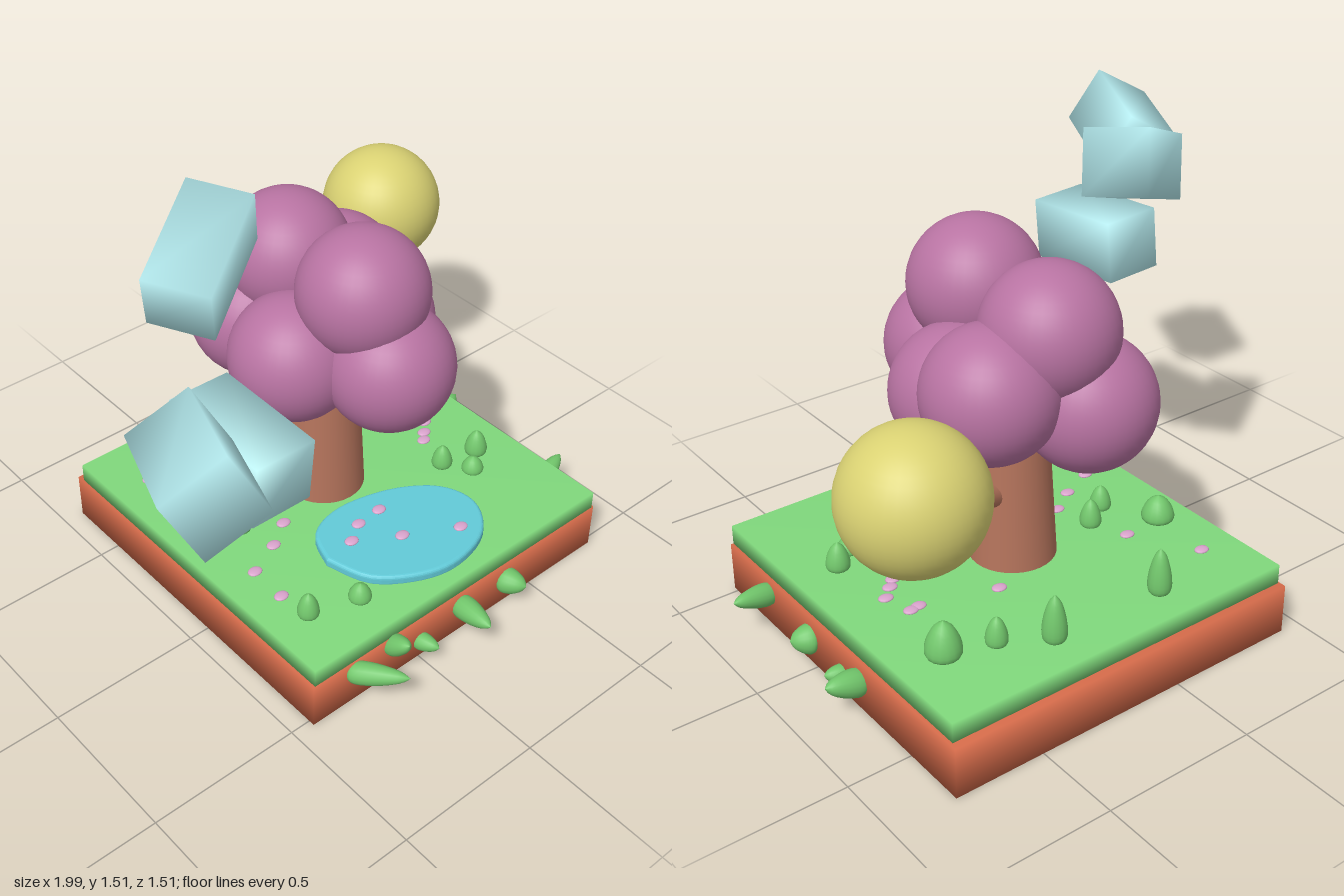
import * as THREE from 'three';
import { mergeVertices } from 'three/addons/utils/BufferGeometryUtils.js';

const V = (x, y, z) => new THREE.Vector3(x, y, z);
const mat = (color, opts = {}) => new THREE.MeshStandardMaterial({ color, ...opts });
const MAT = {
  dirt: mat(0xd56b4a), grass: mat(0x80d87c), bark: mat(0xb5745c), leaves: mat(0xb873a2),
  sun: mat(0xdad273), cloud: mat(0xb6ecf0), water: mat(0x62cad8), petal: mat(0xd9a3cc),
  bush: mat(0x72c76c, { side: THREE.DoubleSide }),
};

// Box whose corners share normals, giving soft shading across its faces
function softBox(w, h, d) {
  const g = new THREE.BoxGeometry(w, h, d);
  g.deleteAttribute('uv');
  g.deleteAttribute('normal');
  const merged = mergeVertices(g);
  merged.computeVertexNormals();
  return merged;
}

// Rounded cone growing along +y from its base, unit radius and height
const budGeometry = new THREE.LatheGeometry(
  new THREE.SplineCurve([[0, 0], [0.75, 0.02], [1, 0.18], [0.88, 0.5], [0.5, 0.83], [0, 1]]
    .map(([x, y]) => new THREE.Vector2(x, y))).getPoints(14)
    .map(p => new THREE.Vector2(Math.max(p.x, 0), p.y)), 16);

export function createModel() {
  const model = new THREE.Group();
  const add = (name, geometry, material, x = 0, y = 0, z = 0, parent = model) => {
    const m = new THREE.Mesh(geometry, material);
    m.name = name;
    m.position.set(x, y, z);
    parent.add(m);
    return m;
  };
  const group = name => {
    const g = new THREE.Group();
    g.name = name;
    model.add(g);
    return g;
  };

  // Ground slabs
  add('dirtSlab', softBox(1.225, 0.165, 1.235), MAT.dirt, 0.182, 0.0825, -0.0975);
  add('grassSlab', softBox(1.21, 0.065, 1.21), MAT.grass, 0.18, 0.1975, -0.085);

  // Tree: trunk, stub of a branch and round leaf clumps
  const tree = group('tree');
  add('trunk', new THREE.CylinderGeometry(0.105, 0.137, 0.58, 32), MAT.bark, 0.16, 0.51, -0.122, tree);
  const from = V(0.2, 0.455, -0.14), to = V(0.325, 0.503, -0.187);
  const branch = add('branchStub', new THREE.CylinderGeometry(0.037, 0.037, from.distanceTo(to), 20),
    MAT.bark, 0, 0, 0, tree);
  branch.position.copy(from).lerp(to, 0.5);
  branch.quaternion.setFromUnitVectors(V(0, 1, 0), to.clone().sub(from).normalize());
  const clump = new THREE.SphereGeometry(0.205, 40, 24);
  [[0.16, 1.067, 0.05], [0.16, 1.037, -0.3], [0.18, 0.842, 0.152], [0.0, 0.835, -0.08],
    [0.325, 0.82, -0.09], [0.345, 0.89, -0.275], [0.07, 0.815, -0.365]]
    .forEach(p => add('leafClump', clump, MAT.leaves, ...p, tree));

  // Sun
  add('sun', new THREE.SphereGeometry(0.203, 40, 24), MAT.sun, 0.79, 0.85, -0.552);

  // Clouds: long soft boxes, each given by centre, long axis and one side direction
  const cloudGeometry = softBox(0.2, 0.2, 0.36);
  const clouds = group('clouds');
  [[V(-0.81, 1.218, 0.53), V(-0.37, 0.17, 0.91), V(0.166, 0.096, 0.049)],
    [V(-0.35, 1.345, -0.052), V(0.29, 0.123, -0.175), V(0.112, -0.021, 0.171)],
    [V(-0.505, 0.98, 0.3), V(0.01, -0.02, 0.36), V(0.2, -0.01, 0.01)]]
    .forEach(([centre, axis, side]) => {
      const z = axis.normalize();
      const y = z.clone().cross(side).normalize();
      const x = y.clone().cross(z);
      add('cloud', cloudGeometry, MAT.cloud, ...centre, clouds)
        .quaternion.setFromRotationMatrix(new THREE.Matrix4().makeBasis(x, y, z));
    });

  // Pond: a rounded slab with an uneven oval outline (shape y becomes -z)
  const outline = new THREE.SplineCurve([[-0.1, 0.21], [-0.05, 0.35], [0.08, 0.44], [0.21, 0.463],
    [0.35, 0.42], [0.425, 0.31], [0.39, 0.19], [0.26, 0.1], [0.08, 0.06], [-0.05, 0.1], [-0.1, 0.21]]
    .map(([x, z]) => new THREE.Vector2(x, -z)));
  const pondGeometry = new THREE.ExtrudeGeometry(new THREE.Shape(outline.getPoints(50)), {
    depth: 0.015, bevelThickness: 0.012, bevelSize: 0.012, bevelSegments: 4, curveSegments: 4,
  });
  pondGeometry.rotateX(-Math.PI / 2);
  add('pond', pondGeometry, MAT.water, 0, 0.233, 0);

  // Petals lying on the pond and on the grass
  const petal = new THREE.SphereGeometry(0.025, 14, 8).scale(1, 0.3, 0.8);
  const petals = group('petals');
  [[0, 0.2], [0.07, 0.155], [0.165, 0.147], [0.14, 0.284], [0.31, 0.375]]
    .forEach(([x, z]) => add('pondPetal', petal, MAT.petal, x, 0.262, z, petals));
  [[-0.295, -0.485], [-0.17, -0.28], [-0.3, 0.085], [-0.305, 0.22], [0.615, -0.11], [0.575, -0.07],
    [0.545, -0.04], [0.56, -0.2], [0.59, -0.205], [-0.18, 0.03], [-0.09, -0.03], [0.32, -0.27]]
    .forEach(([x, z]) => add('grassPetal', petal, MAT.petal, x, 0.232, z, petals));

  // Bushes on the grass: x, z, radius, top height
  const bushes = group('bushes');
  [[-0.045, -0.57, 0.037, 0.38], [0.345, -0.565, 0.038, 0.38], [0.485, -0.48, 0.034, 0.32],
    [0.635, -0.435, 0.055, 0.345], [-0.31, -0.265, 0.053, 0.315], [-0.29, 0.33, 0.035, 0.315],
    [-0.125, 0.38, 0.037, 0.29], [0.505, 0.09, 0.035, 0.31], [0.64, 0.115, 0.038, 0.32],
    [0.565, 0.175, 0.037, 0.285], [-0.12, -0.16, 0.035, 0.32], [-0.21, -0.1, 0.035, 0.31]]
    .forEach(([x, z, r, top]) =>
      add('bush', budGeometry, MAT.bush, x, 0.225, z, bushes).scale.set(r, top - 0.225, r));

  // Buds growing out of the front and left dirt walls: base point, tip point, radius
  const buds = group('wallBuds');
  [[V(-0.28, 0.115, 0.505), V(-0.18, 0.15, 0.67), 0.037], [V(-0.11, 0.115, 0.505), V(-0.12, 0.19, 0.6), 0.036],
    [V(0.005, 0.06, 0.505), V(0.02, 0.075, 0.59), 0.03], [V(0.185, 0.1, 0.505), V(0.165, 0.13, 0.665), 0.04],
    [V(0.38, 0.085, 0.505), V(0.4, 0.1, 0.595), 0.044], [V(0.78, 0.105, 0.285), V(0.93, 0.145, 0.25), 0.037],
    [V(0.78, 0.08, 0.035), V(0.855, 0.09, 0.05), 0.047], [V(0.78, 0.06, -0.145), V(0.85, 0.075, -0.135), 0.03],
    [V(0.78, 0.085, -0.235), V(0.91, 0.125, -0.245), 0.043]]
    .forEach(([base, tip, r]) => {
      const dir = tip.clone().sub(base);
      const bud = add('wallBud', budGeometry, MAT.bush, ...base, buds);
      bud.scale.set(r, dir.length(), r);
      bud.quaternion.setFromUnitVectors(V(0, 1, 0), dir.normalize());
    });

  return model;
}
